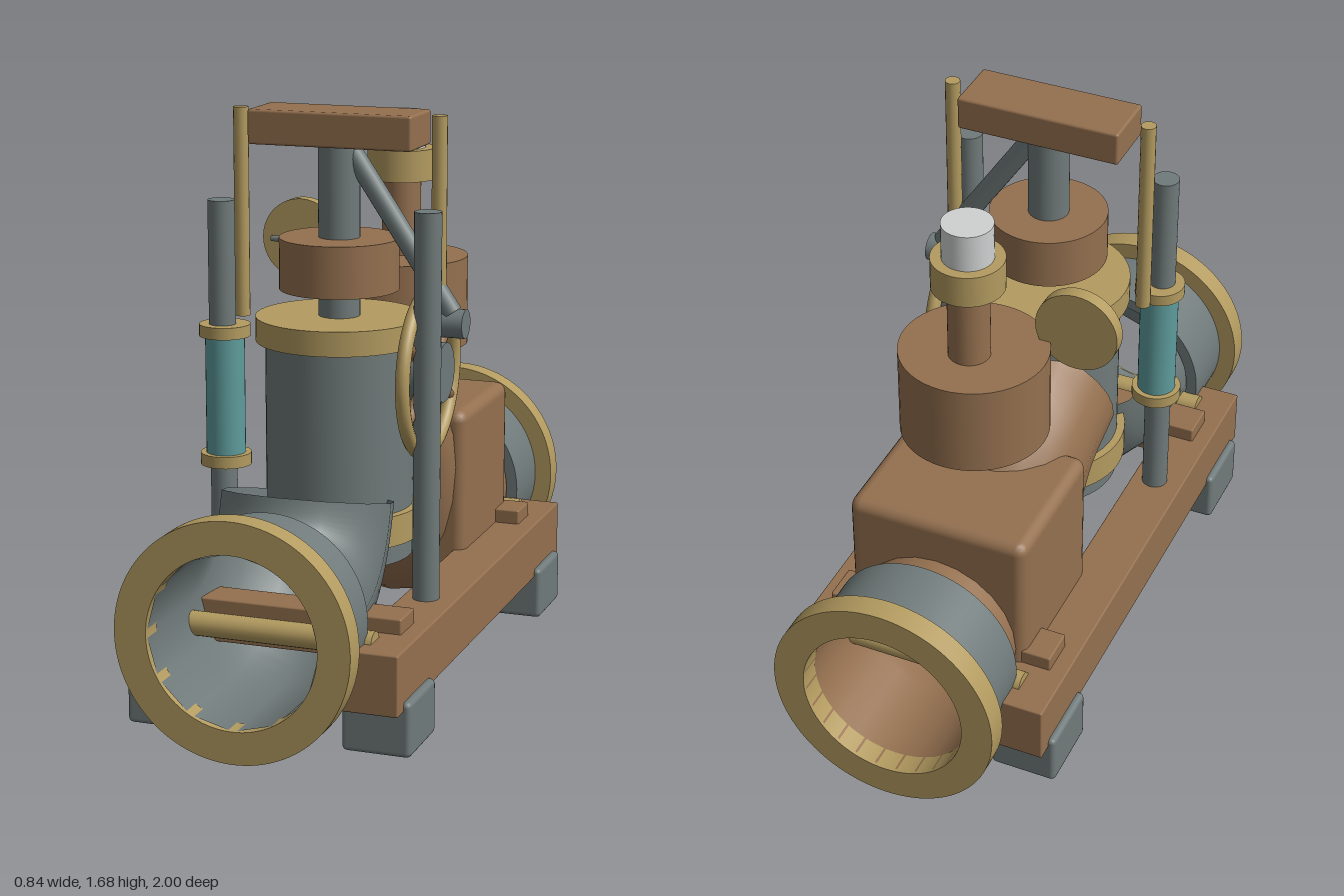
import * as THREE from 'three';
import { toCreasedNormals } from 'three/addons/utils/BufferGeometryUtils.js';
import { RoundedBoxGeometry } from 'three/addons/geometries/RoundedBoxGeometry.js';

const material = (name, color, side = THREE.FrontSide) => {
  const m = new THREE.MeshStandardMaterial({ color, side });
  m.name = name;
  return m;
};

export function createModel() {
  const copper = material('copper', 0x94704f, THREE.DoubleSide);
  const steel = material('steel', 0x707a7a, THREE.DoubleSide);
  const brass = material('brass', 0xb39b60);
  const glass = material('teal glass', 0x5f9c9c);
  const silver = material('silver', 0xcfd2d2);

  const model = new THREE.Group();
  model.name = 'steamPump';
  const V = (x, y, z) => new THREE.Vector3(x, y, z);

  const add = (name, geometry, mat, x = 0, y = 0, z = 0, parent = model) => {
    const mesh = new THREE.Mesh(geometry, mat);
    mesh.name = name;
    mesh.position.set(x, y, z);
    parent.add(mesh);
    return mesh;
  };
  const box = (name, mat, w, h, d, x, y, z, r = 0.008) =>
    add(name, new RoundedBoxGeometry(w, h, d, 2, r), mat, x, y, z);

  // Upright cylinder given by its bottom and top heights
  const post = (name, mat, r, y0, y1, x, z, sides = 40) =>
    add(name, new THREE.CylinderGeometry(r, r, y1 - y0, sides), mat, x, (y0 + y1) / 2, z);

  // Cylinder between two points
  const rod = (name, mat, r, a, b, sides = 20, parent = model) => {
    const mesh = add(name, new THREE.CylinderGeometry(r, r, a.distanceTo(b), sides), mat, 0, 0, 0, parent);
    mesh.position.copy(a).lerp(b, 0.5);
    mesh.quaternion.setFromUnitVectors(V(0, 1, 0), b.clone().sub(a).normalize());
    return mesh;
  };

  // Ring lying along z from z0 to z1
  const ring = (name, mat, outer, inner, y, z0, z1) => {
    const shape = new THREE.Shape().absarc(0, 0, outer, 0, Math.PI * 2);
    shape.holes.push(new THREE.Path().absarc(0, 0, inner, 0, Math.PI * 2, true));
    const g = new THREE.ExtrudeGeometry(shape, { depth: z1 - z0, bevelEnabled: false, curveSegments: 48 });
    return add(name, toCreasedNormals(g, 0.6), mat, 0, y, z0);
  };

  // Skid: rails and feet on each side
  for (const s of [1, -1]) {
    box('skidRail', copper, 0.16, 0.175, 1.6, s * 0.32, 0.225, 0, 0.005);
    for (const e of [1, -1]) box('foot', steel, 0.2, 0.16, 0.225, s * 0.32, 0.085, e * 0.64, 0.015);
  }

  // Both ends: cross beam, tie rod, pipe collar and flange
  const pipeY = 0.365;
  for (const e of [1, -1]) {
    box('crossBeam', copper, 0.7, 0.125, 0.115, 0, 0.293, e * 0.57, 0.005);
    rod('tieRod', brass, 0.035, V(-0.3, 0.305, e * 0.7), V(0.3, 0.305, e * 0.7));
    ring('pipeCollar', steel, 0.285, 0.25, pipeY, e > 0 ? 0.715 : -0.935, e > 0 ? 0.935 : -0.715);
    ring('pipeFlange', brass, 0.338, 0.245, pipeY, e > 0 ? 0.93 : -1, e > 0 ? 1 : -0.93);
  }

  // Front elbow, open at the top
  const elbow = new THREE.CurvePath();
  elbow.add(new THREE.LineCurve3(V(0, pipeY, 0.99), V(0, pipeY, 0.74)));
  elbow.add(new THREE.QuadraticBezierCurve3(V(0, pipeY, 0.74), V(0, 0.355, 0.48), V(0, 0.62, 0.417)));
  add('frontElbow', new THREE.TubeGeometry(elbow, 24, 0.248, 12), steel);

  // Rear duct rising to the column
  const duct = new THREE.CatmullRomCurve3([
    V(0, pipeY, -0.99), V(0, pipeY, -0.65), V(0, pipeY, -0.37), V(0, 0.66, -0.1), V(0, 0.735, 0.08),
  ]);
  add('rearDuct', new THREE.TubeGeometry(duct, 40, 0.247, 24), copper);

  // Rear chest, tank and whistle
  box('rearChest', copper, 0.55, 0.525, 0.455, 0, 0.482, -0.408, 0.035);
  post('tank', copper, 0.214, 0.91, 1.18, 0, -0.36, 48);
  post('whistlePipe', copper, 0.06, 1.17, 1.42, 0, -0.39);
  post('whistleCollar', brass, 0.104, 1.41, 1.505, 0, -0.39);
  post('whistleTop', silver, 0.073, 1.5, 1.615, 0, -0.39);

  // Central column
  const cz = 0.16;
  post('column', steel, 0.214, 0.39, 1.05, 0, cz, 48);
  post('lowerBand', brass, 0.238, 0.45, 0.54, 0, cz, 48);
  post('upperBand', brass, 0.242, 1.02, 1.092, 0, cz, 48);
  post('columnCap', copper, 0.173, 1.17, 1.32, 0, cz, 48);
  post('pistonStem', steel, 0.06, 1.08, 1.59, 0, cz);
  box('crosshead', copper, 0.49, 0.1, 0.18, 0, 1.635, cz, 0.008);

  // Side posts, guide rods and sight glass
  for (const s of [1, -1]) {
    post('sidePost', steel, 0.039, 0.3, 1.43, s * 0.31, 0.29, 24);
    post('guideRod', brass, 0.022, 1.07, 1.68, s * 0.3, cz, 16);
  }
  post('sightGlass', glass, 0.057, 0.685, 1.04, -0.305, 0.285, 32);
  for (const y of [0.655, 1.035]) post('sightGlassCap', brass, 0.074, y, y + 0.035, -0.305, 0.285, 32);

  // Valve fitting and brace
  rod('valveFitting', steel, 0.042, V(0.24, 1.09, 0.155), V(0.38, 1.09, 0.155), 24);
  rod('brace', steel, 0.03, V(0.03, 1.58, cz), V(0.34, 1.12, cz));

  // Handwheel facing +x
  const wheel = new THREE.Group();
  wheel.name = 'handwheel';
  wheel.position.set(0.27, 0.945, 0.155);
  model.add(wheel);
  add('wheelRim', new THREE.TorusGeometry(0.234, 0.021, 12, 48), brass, 0, 0, 0, wheel).rotation.y = Math.PI / 2;
  rod('wheelHub', steel, 0.086, V(-0.07, 0, 0), V(0.05, 0, 0), 32, wheel);
  for (let i = 0; i < 6; i++) {
    const a = Math.PI / 2 + (i * Math.PI) / 3;
    rod('wheelSpoke', copper, 0.016, V(0, 0, 0), V(0, Math.sin(a) * 0.234, Math.cos(a) * 0.234), 12, wheel);
  }

  // Pressure gauge
  rod('gaugeDisc', brass, 0.123, V(-0.262, 1.235, -0.255), V(-0.262, 1.235, -0.214), 40);
  rod('gaugeNeedle', steel, 0.009, V(-0.35, 1.235, -0.195), V(-0.19, 1.235, -0.195), 10);

  return model;
}
